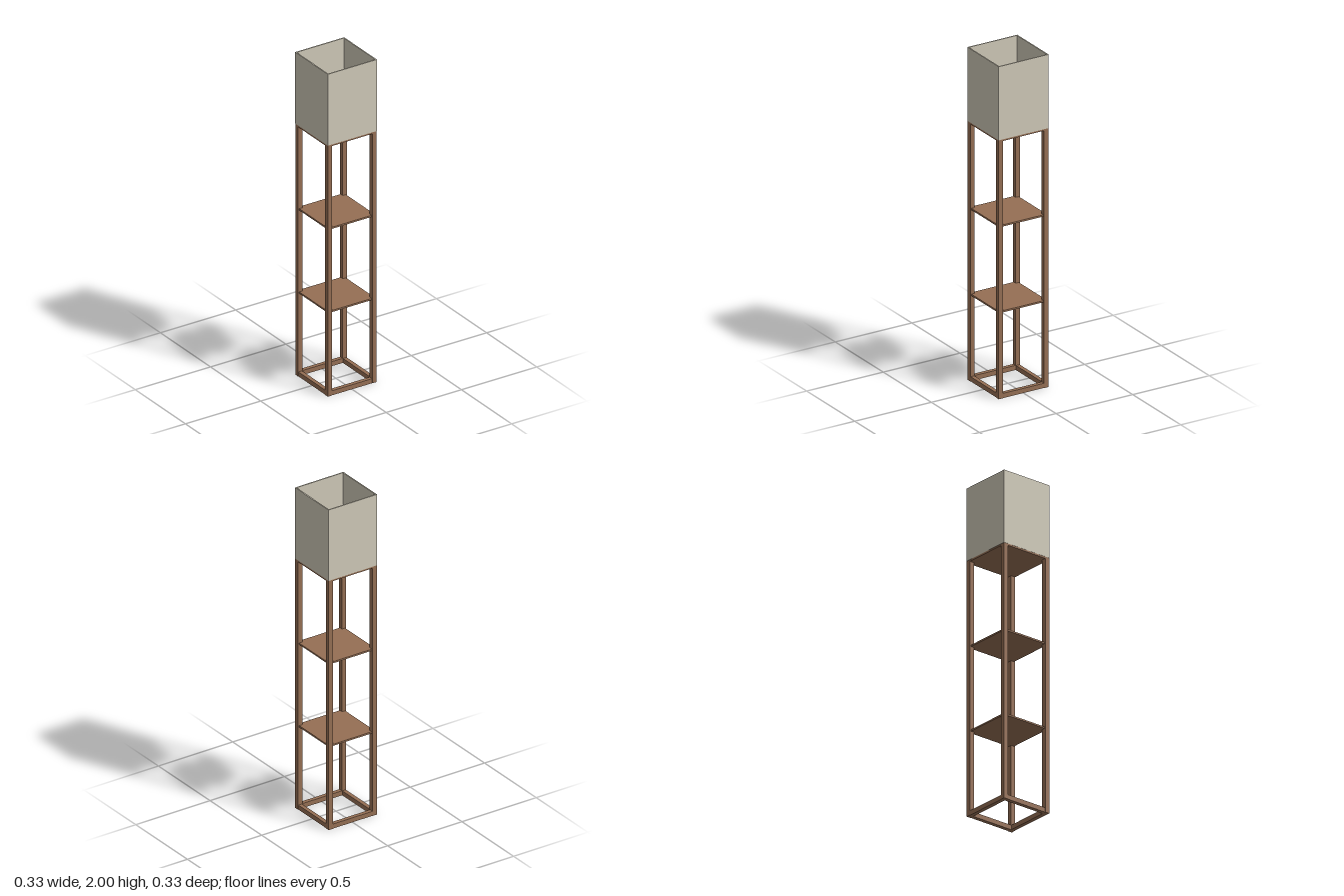
import * as THREE from 'three';

export function createModel() {
  const model = new THREE.Group();
  const material = (name, color) => {
    const m = new THREE.MeshStandardMaterial({ color });
    m.name = name;
    return m;
  };
  const wood = material('brown wood', 0x956f54);
  const fabric = material('cream fabric', 0xcfc9b8);
  const black = material('black plastic', 0x161616);

  const add = (name, geometry, mat, x = 0, y = 0, z = 0) => {
    const mesh = new THREE.Mesh(geometry, mat);
    mesh.name = name;
    mesh.position.set(x, y, z);
    model.add(mesh);
    return mesh;
  };
  const box = (name, mat, w, h, d, x, y, z) =>
    add(name, new THREE.BoxGeometry(w, h, d), mat, x, y, z);

  const half = 0.162, post = 0.028, frameTop = 1.547;
  const c = half - post / 2;
  const inner = 2 * (half - post);

  // Four corner posts
  for (const x of [-c, c]) for (const z of [-c, c])
    box('post', wood, post, frameTop, post, x, frameTop / 2, z);

  // Floor rails between the posts
  for (const s of [-c, c]) {
    box('baseRail', wood, inner, post, post - 0.004, 0, post / 2, s);
    box('baseRail', wood, post - 0.004, post, inner, s, post / 2, 0);
  }

  // Two thin shelves and the panel under the shade
  for (const y of [0.518, 1.034])
    box('shelf', wood, 0.31, 0.01, 0.31, 0, y, 0);
  box('topPanel', wood, 2 * half, 0.01, 2 * half, 0, 1.552, 0);

  // Square shade, open at the top, with a floor liner
  const t = 0.007, outer = 0.163, shadeBottom = 1.557;
  const outline = new THREE.Shape([
    new THREE.Vector2(-outer, -outer), new THREE.Vector2(outer, -outer),
    new THREE.Vector2(outer, outer), new THREE.Vector2(-outer, outer)]);
  const i = outer - t;
  outline.holes.push(new THREE.Path([
    new THREE.Vector2(-i, -i), new THREE.Vector2(-i, i),
    new THREE.Vector2(i, i), new THREE.Vector2(i, -i)]));
  const walls = new THREE.ExtrudeGeometry(outline,
    { depth: 2 - shadeBottom, bevelEnabled: false });
  walls.rotateX(-Math.PI / 2);
  add('shade', walls, fabric, 0, shadeBottom, 0);
  box('shadeFloor', fabric, 2 * i, 0.004, 2 * i, 0, shadeBottom + 0.002, 0);

  // Hollow lamp socket with a ribbed outer sleeve
  const profile = [[0.018, 0], [0.043, 0], [0.043, 0.015], [0.03, 0.022]];
  for (let k = 0; k < 6; k++) {
    const y = 0.024 + k * 0.01;
    profile.push([0.028, y], [0.031, y + 0.005]);
  }
  profile.push([0.028, 0.09], [0.018, 0.09], [0.018, 0]);
  const socket = new THREE.LatheGeometry(
    profile.map(([r, y]) => new THREE.Vector2(r, y)), 40);
  add('lampSocket', socket.toNonIndexed(), black, -0.003, 1.561, 0)
    .geometry.computeVertexNormals();

  // Turn switch on the side of the socket
  const stem = add('switchStem', new THREE.CylinderGeometry(0.005, 0.005, 0.03, 16),
    black, 0.034, 1.569, 0);
  const knob = add('switchKnob', new THREE.CylinderGeometry(0.008, 0.008, 0.008, 16),
    black, 0.05, 1.569, 0);
  stem.rotation.z = knob.rotation.z = Math.PI / 2;

  return model;
}
